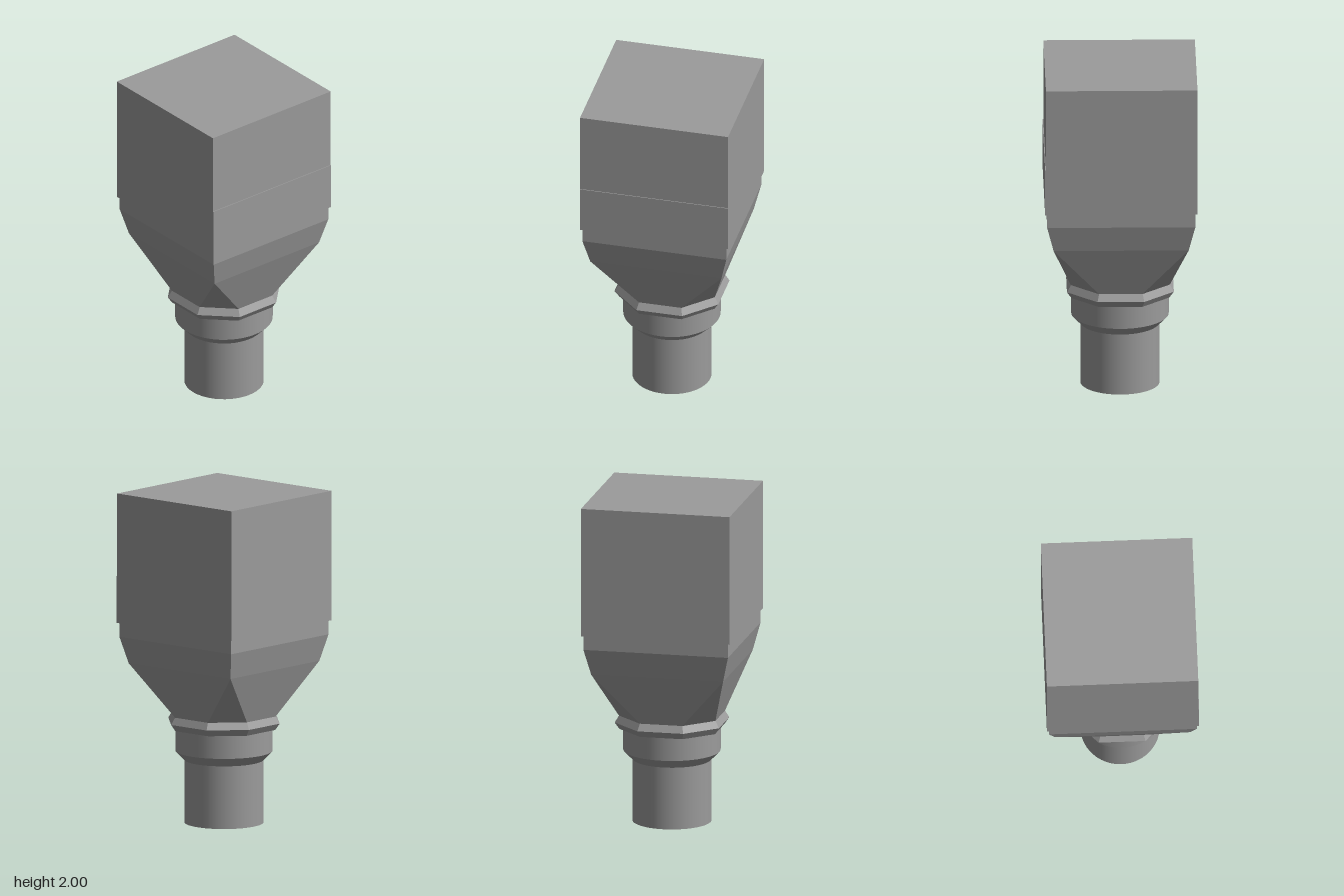
import * as THREE from 'three';

const material = new THREE.MeshStandardMaterial({ color: 0x9b9b9b });
const flat = new THREE.MeshStandardMaterial({ color: 0x9b9b9b, flatShading: true });

// Square ring with cut corners: w is half the width, f half the flat side
function ring([y, w, f]) {
  const pts = [];
  for (let k = 0; k < 4; k++) {
    const c = Math.round(Math.cos(k * Math.PI / 2)), s = Math.round(Math.sin(k * Math.PI / 2));
    for (const t of [-f, f]) pts.push([w * c - t * s, y, w * s + t * c]);
  }
  return pts;
}

// Skin through rings listed from bottom to top
function loft(sections) {
  const rings = sections.map(ring), pos = [];
  for (let r = 0; r < rings.length - 1; r++) {
    const lo = rings[r], hi = rings[r + 1];
    for (let i = 0; i < 8; i++) {
      const j = (i + 1) % 8;
      pos.push(...lo[i], ...hi[i], ...lo[j], ...lo[j], ...hi[i], ...hi[j]);
    }
  }
  const g = new THREE.BufferGeometry();
  g.setAttribute('position', new THREE.Float32BufferAttribute(pos, 3));
  g.computeVertexNormals();
  return g;
}

export function createModel() {
  const model = new THREE.Group();
  const add = (name, geometry, mat, x = 0, y = 0, z = 0) => {
    const mesh = new THREE.Mesh(geometry, mat);
    mesh.name = name;
    mesh.position.set(x, y, z);
    model.add(mesh);
  };

  // Square head; its left side steps in slightly above the middle
  add('headLower', new THREE.BoxGeometry(0.909, 0.285, 0.909), flat, 0, 1.3575);
  add('headUpper', new THREE.BoxGeometry(0.904, 0.5, 0.909), flat, -0.0025, 1.75);

  // Square body narrowing to an octagonal neck
  add('taperedBody', loft([
    [0.657, 0.295, 0.13], [0.97, 0.403, 0.403], [1.13, 0.442, 0.442], [1.22, 0.442, 0.442],
  ]), flat);

  // Octagonal ridge around the neck, closed underneath
  add('collar', loft([
    [0.575, 0.2, 0.09], [0.575, 0.292, 0.13], [0.615, 0.319, 0.14], [0.657, 0.295, 0.13],
  ]), flat);

  // Round socket, chamfer and pipe
  add('socket', new THREE.CylinderGeometry(0.291, 0.291, 0.145, 48, 1, true), material, 0, 0.5075);
  add('chamfer', new THREE.CylinderGeometry(0.291, 0.237, 0.055, 48, 1, true), material, 0, 0.4075);
  add('pipe', new THREE.CylinderGeometry(0.237, 0.237, 0.38, 48), material, 0, 0.19);
  return model;
}
